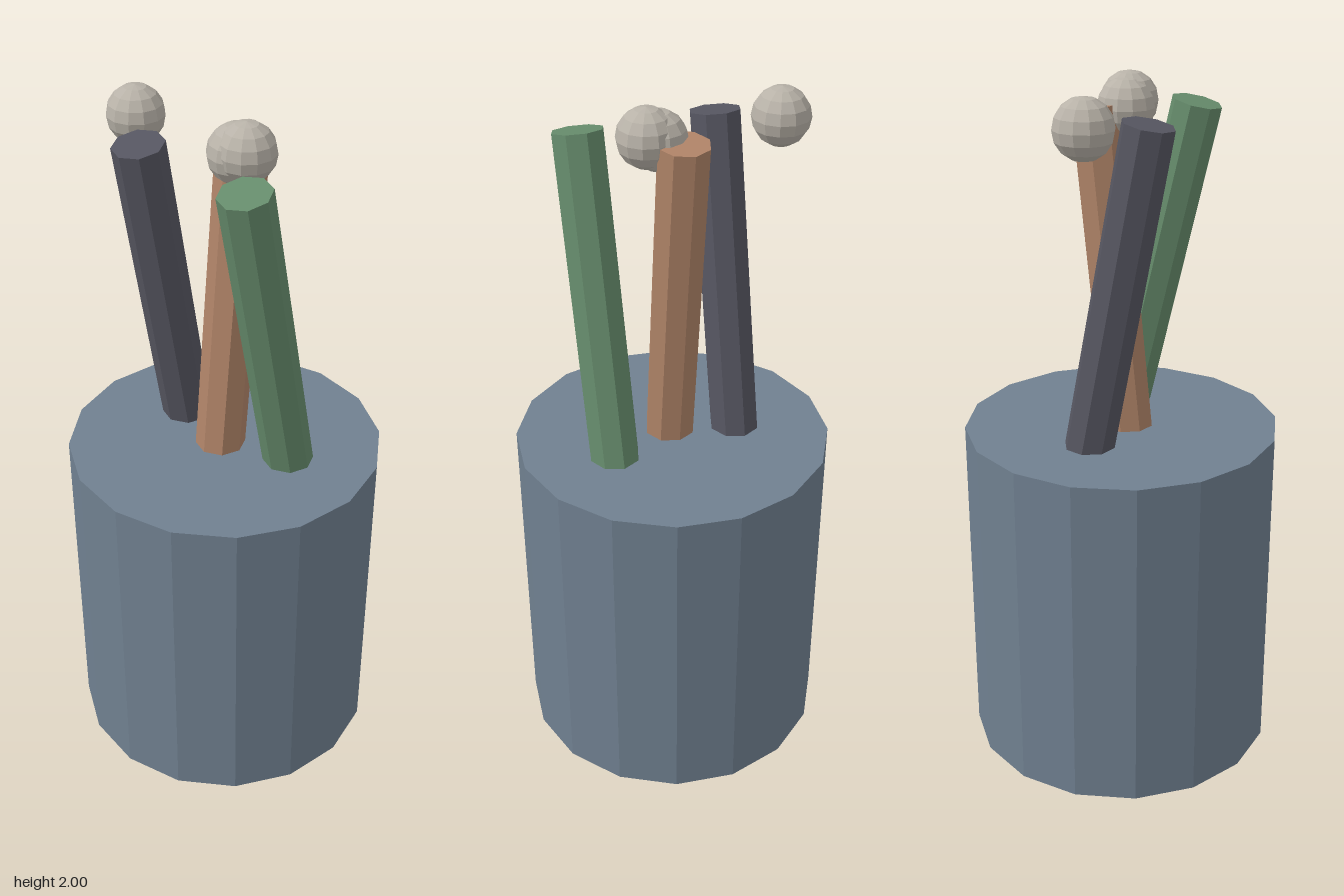
import * as THREE from 'three';

const flat = (color) => new THREE.MeshStandardMaterial({ color, flatShading: true });

export function createModel() {
  const model = new THREE.Group();
  model.name = 'penHolder';

  const add = (name, geometry, material, x, y, tilt = 0) => {
    const mesh = new THREE.Mesh(geometry, material);
    mesh.name = name;
    mesh.position.set(x, y, 0);
    mesh.rotation.x = tilt;
    model.add(mesh);
  };

  // Solid sixteen-sided pot
  add('pot', new THREE.CylinderGeometry(0.455, 0.455, 1, 16), flat(0x708090), 0, 0.5);

  // Octagonal pens leaning forwards or backwards
  const pen = new THREE.CylinderGeometry(0.072, 0.072, 1.44, 8);
  const pens = [
    ['rightPen', 0x565661, -0.182, 0.18],
    ['middlePen', 0xb08468, 0, -0.1],
    ['leftPen', 0x668c6c, 0.2, 0.22],
  ];
  for (const [name, color, x, tilt] of pens) add(name, pen, flat(color), x, 1.2, tilt);

  // Faceted beads beside the pen tops
  const bead = new THREE.SphereGeometry(0.081, 12, 8);
  const beadMaterial = flat(0xb8b2a8);
  const beads = [
    ['rightBead', -0.314, 1.915],
    ['middleBead', 0.041, 1.907],
    ['leftBead', 0.072, 1.919],
  ];
  for (const [name, x, y] of beads) add(name, bead, beadMaterial, x, y);

  return model;
}
